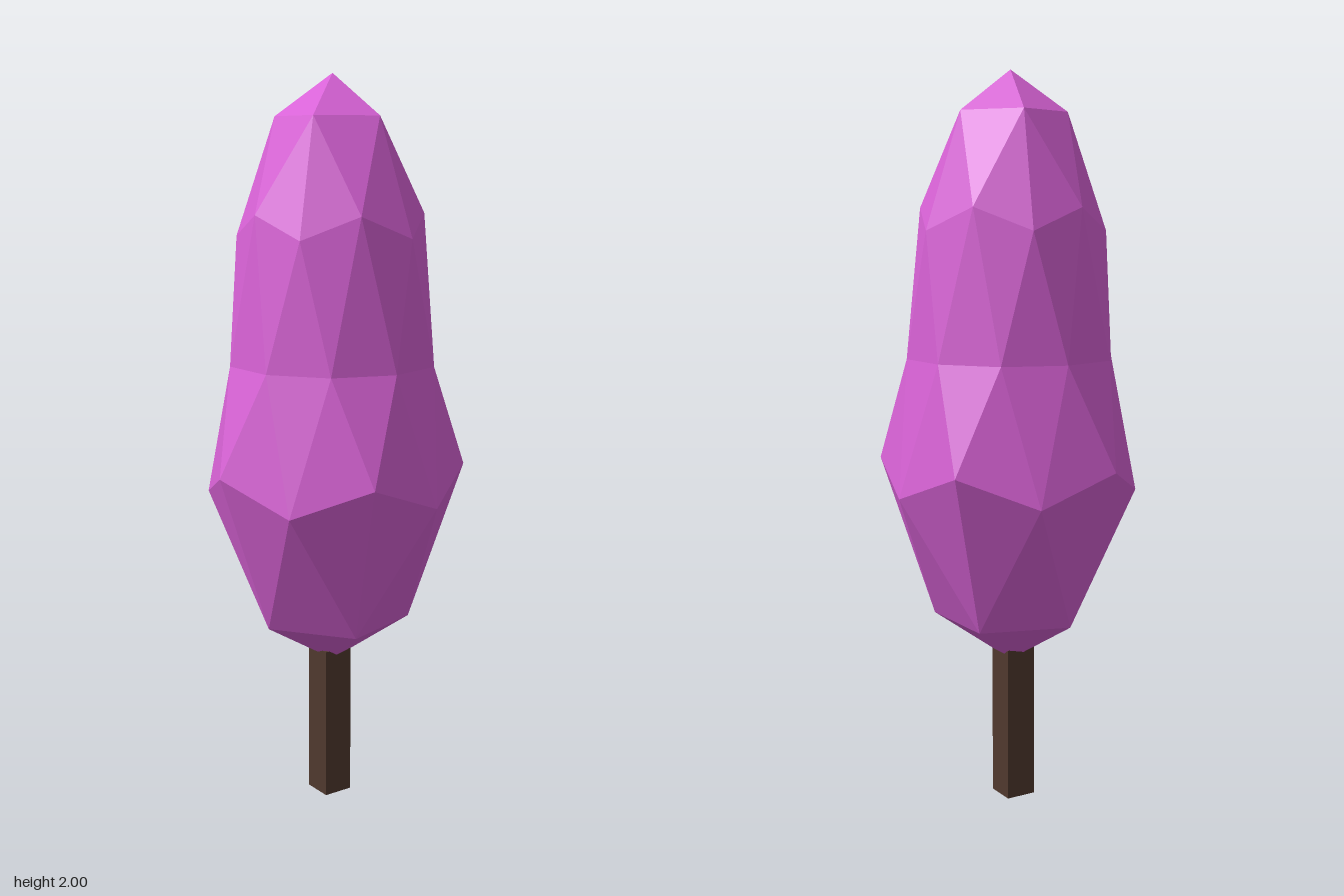
import * as THREE from 'three';

const foliageMaterial = new THREE.MeshStandardMaterial({ color: 0xd862d6, flatShading: true });
foliageMaterial.name = 'foliage pink';
const trunkMaterial = new THREE.MeshStandardMaterial({ color: 0x50392e, flatShading: true });
trunkMaterial.name = 'bark brown';

// Ring of points around the foliage axis, returned as a wrapping lookup
function ring(count, startDegrees, radius, y) {
  const points = [];
  for (let i = 0; i < count; i++) {
    const a = THREE.MathUtils.degToRad(startDegrees + (360 / count) * i);
    points.push([radius * Math.cos(a), y, -radius * Math.sin(a)]);
  }
  return (i) => points[(i + count) % count];
}

// Faceted crown: a once-divided icosahedron with its rings squeezed into a flame shape
function createCrown() {
  const top = [0, 2, 0];
  const cap = ring(5, 0, 0.152, 1.89);
  const upper = ring(5, 0, 0.256, 1.58);
  const upperMid = ring(5, 36, 0.244, 1.64);
  const waist = ring(10, 18, 0.285, 1.24);
  const lower = ring(5, 36, 0.361, 0.96);
  const lowerMid = ring(5, 0, 0.343, 0.88);
  const base = ring(5, 36, 0.213, 0.52);
  const bottom = [0, 0.39, 0];

  const positions = [];
  const face = (a, b, c) => positions.push(...a, ...b, ...c);
  for (let k = 0; k < 5; k++) {
    const w0 = waist(2 * k - 1), w1 = waist(2 * k), w2 = waist(2 * k + 1);
    // tip
    face(top, cap(k), cap(k + 1));
    face(cap(k), upper(k), upperMid(k));
    face(cap(k), upperMid(k), cap(k + 1));
    face(cap(k + 1), upperMid(k), upper(k + 1));
    // sides pointing down
    face(upper(k), w1, upperMid(k));
    face(upperMid(k), w1, w2);
    face(upperMid(k), w2, upper(k + 1));
    face(w1, lower(k), w2);
    // sides pointing up
    face(upper(k), w0, w1);
    face(w0, lower(k - 1), lowerMid(k));
    face(w0, lowerMid(k), w1);
    face(w1, lowerMid(k), lower(k));
    // underside
    face(lower(k), base(k), lowerMid(k + 1));
    face(lowerMid(k + 1), base(k), base(k + 1));
    face(lowerMid(k + 1), base(k + 1), lower(k + 1));
    face(base(k), bottom, base(k + 1));
  }
  const geometry = new THREE.BufferGeometry();
  geometry.setAttribute('position', new THREE.Float32BufferAttribute(positions, 3));
  geometry.computeVertexNormals();
  const crown = new THREE.Mesh(geometry, foliageMaterial);
  crown.name = 'crown';
  crown.position.x = 0.008;
  return crown;
}

// Square trunk reaching a little way into the crown
function createTrunk() {
  const height = 0.43;
  const trunk = new THREE.Mesh(new THREE.BoxGeometry(0.085, height, 0.085), trunkMaterial);
  trunk.name = 'trunk';
  trunk.position.set(0.001, height / 2, -0.003);
  return trunk;
}

export function createModel() {
  const tree = new THREE.Group();
  tree.name = 'tree';
  tree.add(createCrown(), createTrunk());
  return tree;
}
